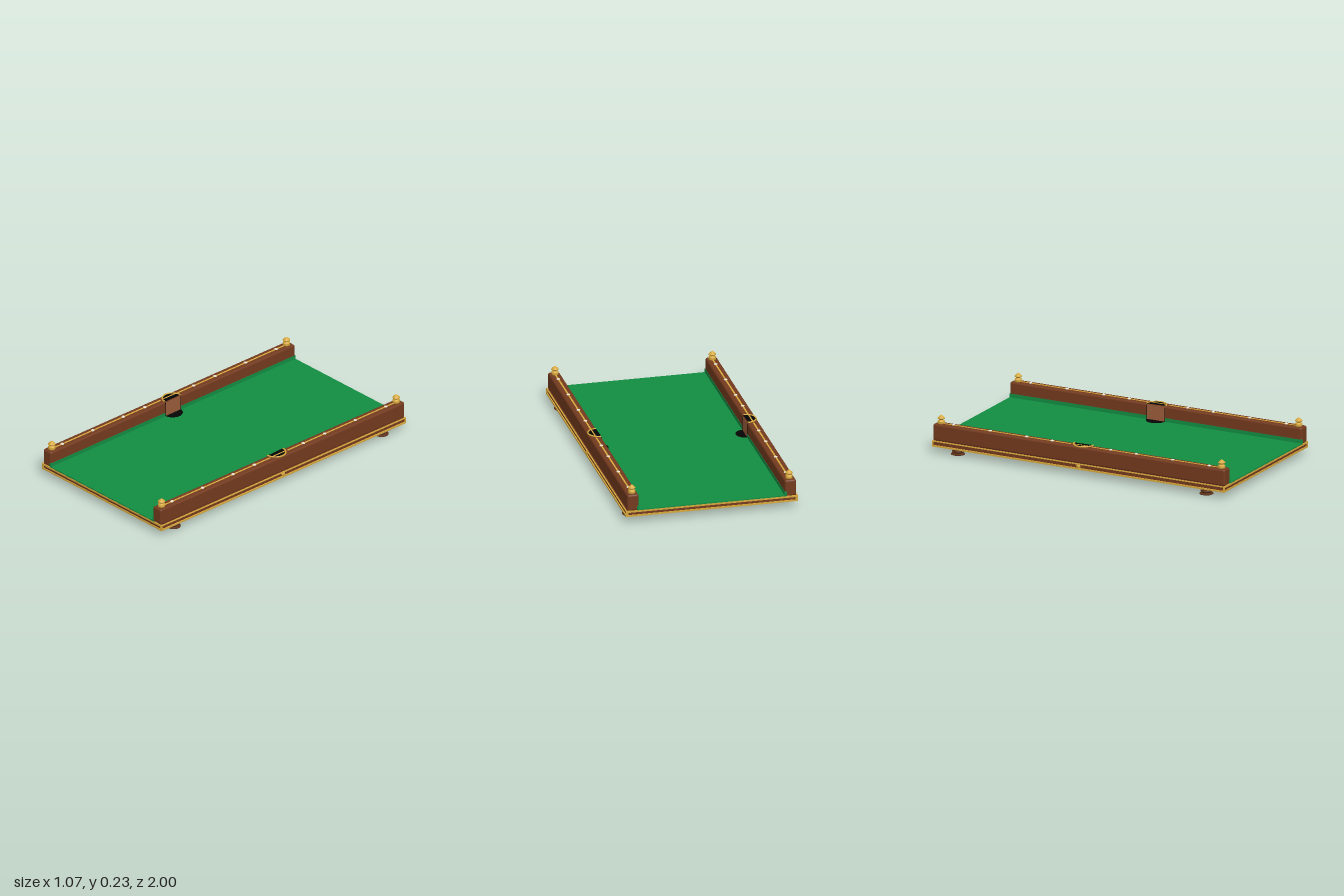
import * as THREE from 'three';
import { RoundedBoxGeometry } from 'three/addons/geometries/RoundedBoxGeometry.js';

const mat = (name, color, side = THREE.FrontSide) => {
  const m = new THREE.MeshStandardMaterial({ color, side });
  m.name = name;
  return m;
};

export function createModel() {
  const wood = mat('wood', 0x733a1e);
  const darkWood = mat('dark wood', 0x5c3018);
  const gold = mat('gold', 0xd8a93c, THREE.DoubleSide);
  const cloth = mat('green cloth', 0x128c42);
  const black = mat('pocket black', 0x050505, THREE.DoubleSide);
  const leather = mat('pocket leather', 0x9a5c3a);
  const cream = mat('cream inlay', 0xf0e8d4);

  const model = new THREE.Group();
  model.name = 'billiardTable';
  const add = (name, geometry, material, x, y, z, parent = model) => {
    const mesh = new THREE.Mesh(geometry, material);
    mesh.name = name;
    mesh.position.set(x, y, z);
    parent.add(mesh);
    return mesh;
  };
  const box = (name, w, h, d, material, x, y, z, parent) =>
    add(name, new THREE.BoxGeometry(w, h, d), material, x, y, z, parent);
  const lathe = (points, segments) =>
    new THREE.LatheGeometry(points.map(([r, y]) => new THREE.Vector2(r, y)), segments);

  // Slab and playing surface
  box('slabBottom', 1.05, 0.006, 1.99, darkWood, 0, 0.043, 0);
  box('slab', 1.052, 0.032, 1.992, wood, 0, 0.061, 0);
  box('bed', 0.92, 0.007, 1.998, cloth, 0, 0.0805, 0);

  // Gilt frame around each end panel
  for (const s of [-1, 1]) {
    for (const y of [0.0455, 0.072]) box('endTrim', 1.066, 0.011, 0.008, gold, 0, y, s * 0.996);
    for (const x of [-0.526, 0.526]) box('endTrimPost', 0.014, 0.03, 0.008, gold, x, 0.06, s * 0.996);
  }

  // Turned profiles
  const finialGeo = lathe([
    [0, 0], [0.022, 0], [0.022, 0.01], [0.019, 0.014], [0.023, 0.018],
    [0.012, 0.024], [0.013, 0.028], [0.023, 0.034], [0.022, 0.038], [0.009, 0.05], [0, 0.057],
  ], 16);
  const footGeo = lathe([
    [0, 0], [0.042, 0], [0.042, 0.004], [0.026, 0.008], [0.028, 0.011], [0.036, 0.018],
    [0.036, 0.021], [0.024, 0.029], [0.038, 0.035], [0.038, 0.041], [0, 0.041],
  ], 20);

  for (const s of [-1, 1]) {
    const side = new THREE.Group();
    side.name = s > 0 ? 'leftSide' : 'rightSide';
    model.add(side);

    // Rail with inlaid strip and sight markers
    add('rail', new RoundedBoxGeometry(0.071, 0.104, 1.998, 3, 0.012), wood, s * 0.4885, 0.128, 0, side);
    for (const e of [-1, 1]) {
      box('inlayStrip', 0.01, 0.003, 0.91, gold, s * 0.488, 0.1805, e * 0.525, side);
      for (const z of [0.2, 0.375, 0.625, 0.875]) {
        const stud = add('sightMarker', new THREE.SphereGeometry(0.012, 10, 6), cream, s * 0.488, 0.1815, e * z, side);
        stud.scale.y = 0.45;
      }
      // Cushion halves on either side of the pocket
      box('cushion', 0.014, 0.023, 0.937, cloth, s * 0.458, 0.0955, e * 0.5315, side);
      add('finial', finialGeo, gold, s * 0.488, 0.178, e * 0.96, side);
      add('foot', footGeo, darkWood, s * 0.478, 0, e * 0.85, side);
    }

    // Long edge trim and centre boss
    box('sideTrimLower', 0.007, 0.01, 2, gold, s * 0.5295, 0.045, 0, side);
    box('sideTrimUpper', 0.007, 0.006, 2, gold, s * 0.5295, 0.0745, 0, side);
    const boss = add('sideBoss', new THREE.SphereGeometry(0.014, 14, 10), gold, s * 0.528, 0.06, 0, side);
    boss.scale.x = 0.5;

    // Middle pocket: mouth on the bed, liner on the rail, opening on top
    add('pocketMouth', new THREE.CylinderGeometry(0.062, 0.062, 0.002, 32), black, s * 0.457, 0.0842, 0, side);
    box('pocketLiner', 0.002, 0.09, 0.118, leather, s * 0.4525, 0.13, 0, side);
    for (const e of [-1, 1]) box('pocketEdge', 0.002, 0.09, 0.005, black, s * 0.4525, 0.13, e * 0.0615, side);
    const opening = new THREE.Shape();
    opening.moveTo(0.453, -0.06);
    opening.absarc(0.458, 0, 0.062, -Math.PI / 2, Math.PI / 2, false);
    opening.lineTo(0.453, 0.06);
    const top = add('pocketOpening', new THREE.ShapeGeometry(opening, 20), black, 0, 0.1825, 0, side);
    top.rotation.set(-Math.PI / 2, 0, s > 0 ? 0 : Math.PI);
    const rim = add('pocketRim', new THREE.TorusGeometry(0.063, 0.005, 8, 28, Math.PI), gold, s * 0.457, 0.182, 0, side);
    rim.rotation.set(-Math.PI / 2, 0, s > 0 ? -Math.PI / 2 : Math.PI / 2);
    box('pocketBridge', 0.008, 0.002, 0.11, gold, s * 0.488, 0.183, 0, side);
  }
  return model;
}
